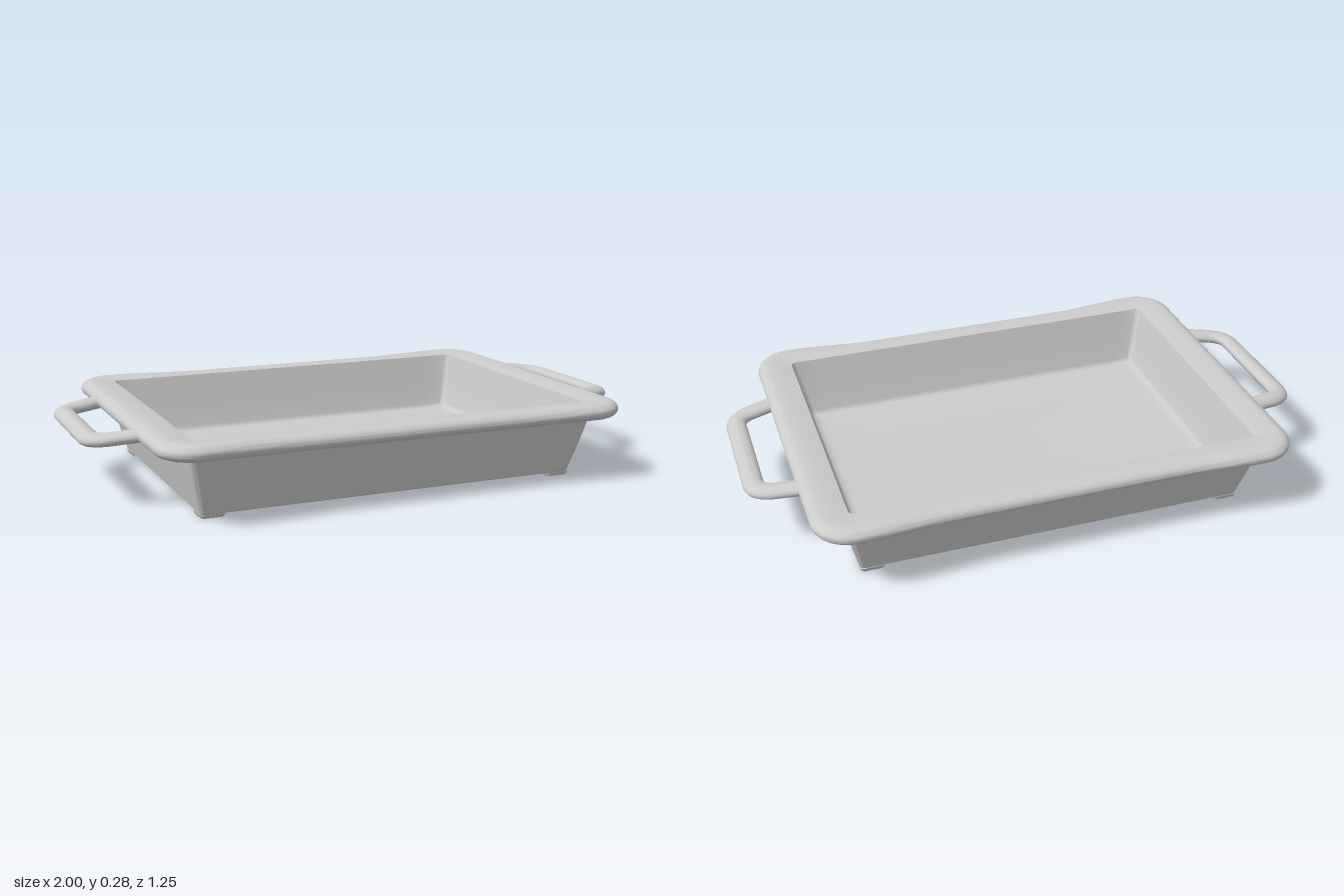
import * as THREE from 'three';
import { mergeVertices, toCreasedNormals } from 'three/addons/utils/BufferGeometryUtils.js';

const material = new THREE.MeshStandardMaterial({ color: 0xcccccc, roughness: 0.7 });

// Rounded-rectangle loop; flare pushes the corners out along z
function loop([hx, hz, r, y, flare = 0]) {
  const pts = [], arc = 10, side = 20;
  const corners = [[1, 1], [-1, 1], [-1, -1], [1, -1]];
  const ends = corners.map(([sx, sz], k) => {
    const list = [];
    for (let i = 0; i <= arc; i++) {
      const a = (k + i / arc) * Math.PI / 2;
      list.push([sx * (hx - r) + r * Math.cos(a), sz * (hz - r) + r * Math.sin(a)]);
    }
    return list;
  });
  ends.forEach((list, k) => {
    pts.push(...list);
    const a = list[arc], b = ends[(k + 1) % 4][0];
    for (let i = 1; i < side; i++) {
      const t = i / side;
      pts.push([a[0] + (b[0] - a[0]) * t, a[1] + (b[1] - a[1]) * t]);
    }
  });
  return pts.map(([x, z]) => {
    const w = flare * THREE.MathUtils.smoothstep(Math.abs(x), 0.38, 0.7);
    return [x, y + 0.005 * w, z * (1 + 0.036 * w)];
  });
}

// Skin a series of loops, ordered bottom to top on the outside
function loft(rings, crease = 0.6) {
  const loops = rings.map(loop), n = loops[0].length, index = [];
  for (let i = 0; i < loops.length - 1; i++) {
    for (let j = 0; j < n; j++) {
      const a = i * n + j, b = i * n + (j + 1) % n;
      index.push(a, a + n, b, b, a + n, b + n);
    }
  }
  const g = new THREE.BufferGeometry();
  g.setAttribute('position', new THREE.Float32BufferAttribute(loops.flat(2), 3));
  g.setIndex(index);
  return toCreasedNormals(mergeVertices(g), crease);
}

function add(parent, name, geometry) {
  const mesh = new THREE.Mesh(geometry, material);
  mesh.name = name;
  parent.add(mesh);
  return mesh;
}

export function createModel() {
  const dish = new THREE.Group();
  dish.name = 'bakingDish';

  // Underside and sloping outer walls
  add(dish, 'outerShell', loft([
    [0, 0, 0, 0.012], [0.676, 0.466, 0.015, 0.012], [0.681, 0.472, 0.018, 0.016],
    [0.705, 0.5, 0.02, 0.11], [0.73, 0.53, 0.022, 0.222],
  ]));

  // Rolled rim with an almost flat top
  const rim = [[0.72, 0.52, 0.022, 0.214]];
  const edge = 14;
  for (let i = 0; i <= edge; i++) {
    const a = -Math.PI / 2 + Math.PI * i / edge;
    const out = 0.042 * Math.cos(a);
    rim.push([0.793 + out, 0.56 + out, 0.085 + out, 0.243 + 0.029 * Math.sin(a), 1]);
  }
  rim.push([0.755, 0.535, 0.05, 0.272, 0.6], [0.71, 0.506, 0.018, 0.268]);
  add(dish, 'rim', loft(rim));

  // Inner walls, filleted into the floor
  add(dish, 'basin', loft([
    [0.71, 0.506, 0.018, 0.268], [0.685, 0.476, 0.018, 0.165], [0.663, 0.453, 0.018, 0.079],
    [0.659, 0.449, 0.018, 0.07], [0.652, 0.442, 0.018, 0.064], [0.635, 0.425, 0.015, 0.061],
    [0.6, 0.39, 0.01, 0.06], [0, 0, 0, 0.06],
  ]));

  // Four low feet flush with the wall corners
  for (const sx of [1, -1]) {
    for (const sz of [1, -1]) {
      const foot = add(dish, 'foot', loft([
        [0, 0, 0, 0], [0.038, 0.038, 0.012, 0], [0.04, 0.04, 0.012, 0.002],
        [0.043, 0.043, 0.012, 0.014],
      ]));
      foot.position.set(sx * 0.639, 0, sz * 0.43);
    }
  }

  // Loop handles: a flattened tube that droops slightly outwards
  for (const s of [1, -1]) {
    const path = new THREE.CurvePath();
    const v = (x, z) => new THREE.Vector3(s * x, 0, z);
    path.add(new THREE.LineCurve3(v(0.77, 0.29), v(0.9, 0.257)));
    path.add(new THREE.QuadraticBezierCurve3(v(0.9, 0.257), v(0.965, 0.24), v(0.965, 0.185)));
    path.add(new THREE.LineCurve3(v(0.965, 0.185), v(0.965, -0.185)));
    path.add(new THREE.QuadraticBezierCurve3(v(0.965, -0.185), v(0.965, -0.24), v(0.9, -0.257)));
    path.add(new THREE.LineCurve3(v(0.9, -0.257), v(0.77, -0.29)));
    const g = new THREE.TubeGeometry(path, 90, 0.035, 18);
    const p = g.attributes.position;
    for (let i = 0; i < p.count; i++) {
      const drop = 0.1 * (Math.abs(p.getX(i)) - 0.8);
      p.setY(i, p.getY(i) * 0.63 + 0.245 - drop);
    }
    g.computeVertexNormals();
    add(dish, s > 0 ? 'leftHandle' : 'rightHandle', g);
  }
  return dish;
}
